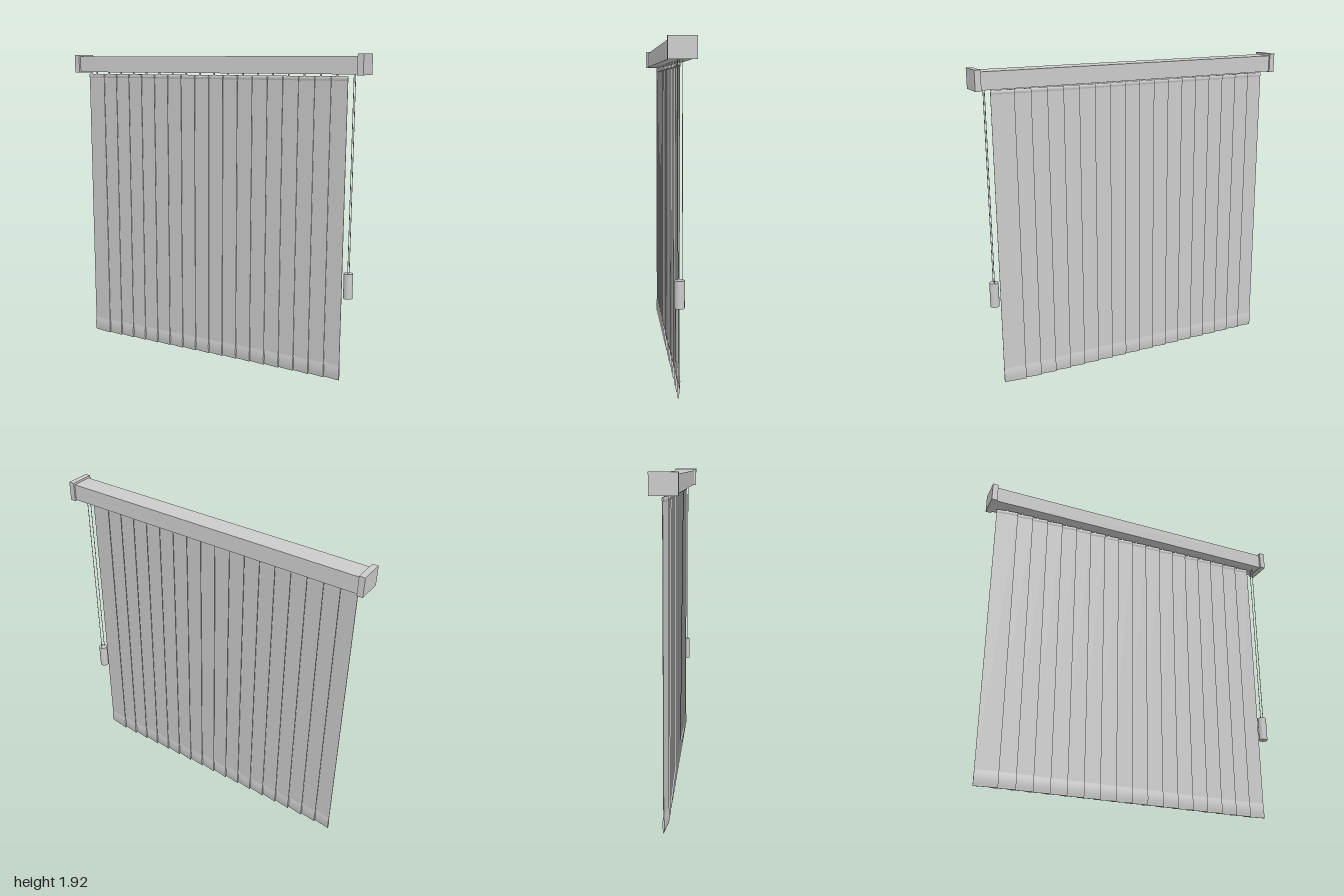
import * as THREE from 'three';

const material = new THREE.MeshStandardMaterial({ color: 0xcccccc });

function add(parent, name, geometry, x, y, z) {
  const mesh = new THREE.Mesh(geometry, material);
  mesh.name = name;
  mesh.position.set(x, y, z);
  parent.add(mesh);
  return mesh;
}

// Side profile of a vane: thin fabric with a weight pocket below and a carrier pocket on top.
function vaneGeometry(width) {
  const sheet = 0.0015;
  const half = [];
  const bulge = (y0, y1, depth, steps) => {
    for (let i = 0; i <= steps; i++) {
      const t = i / steps;
      half.push([y0 + (y1 - y0) * t, sheet + depth * Math.sin(Math.PI * t)]);
    }
  };
  bulge(0, 0.092, 0.0048, 10);
  bulge(1.768, 1.793, 0.003, 6);
  const front = half.map(([y, z]) => new THREE.Vector2(-z, y));
  const back = half.map(([y, z]) => new THREE.Vector2(z, y)).reverse();
  const geometry = new THREE.ExtrudeGeometry(new THREE.Shape([...front, ...back]), {
    depth: width, bevelEnabled: false,
  });
  geometry.translate(0, 0, -width / 2);
  geometry.rotateY(Math.PI / 2);
  return geometry;
}

export function createModel() {
  const model = new THREE.Group();
  model.name = 'verticalBlind';

  // Headrail and end caps
  add(model, 'headrail', new THREE.BoxGeometry(1.94, 0.1, 0.126), 0, 1.855, -0.002);
  for (const side of [-1, 1]) {
    add(model, side > 0 ? 'leftEndCap' : 'rightEndCap',
      new THREE.BoxGeometry(0.035, 0.116, 0.15), side * 0.9825, 1.859, 0);
  }

  // Overlapping vanes, each turned slightly on its hanger
  const vaneWidth = 0.136;
  const vaneShape = vaneGeometry(vaneWidth);
  const hangerShape = new THREE.BoxGeometry(0.01, 0.025, 0.004);
  for (let i = 0; i < 18; i++) {
    const vane = new THREE.Group();
    vane.name = 'vane' + (i + 1);
    vane.position.x = -0.877 + i * 0.1;
    vane.rotation.y = -0.13;
    add(vane, 'fabric', vaneShape, 0, 0, 0);
    add(vane, 'hanger', hangerShape, 0, 1.8, 0);
    model.add(vane);
  }

  // Pull cords and their weight
  const control = new THREE.Group();
  control.name = 'cordControl';
  control.position.set(0.928, 0, 0.006);
  for (const z of [-0.013, 0.013]) {
    add(control, 'cord', new THREE.CylinderGeometry(0.002, 0.002, 1.15, 8), 0, 1.235, z);
  }
  add(control, 'cordWeight', new THREE.CylinderGeometry(0.027, 0.027, 0.15, 24), 0, 0.59, 0);
  model.add(control);

  return model;
}
